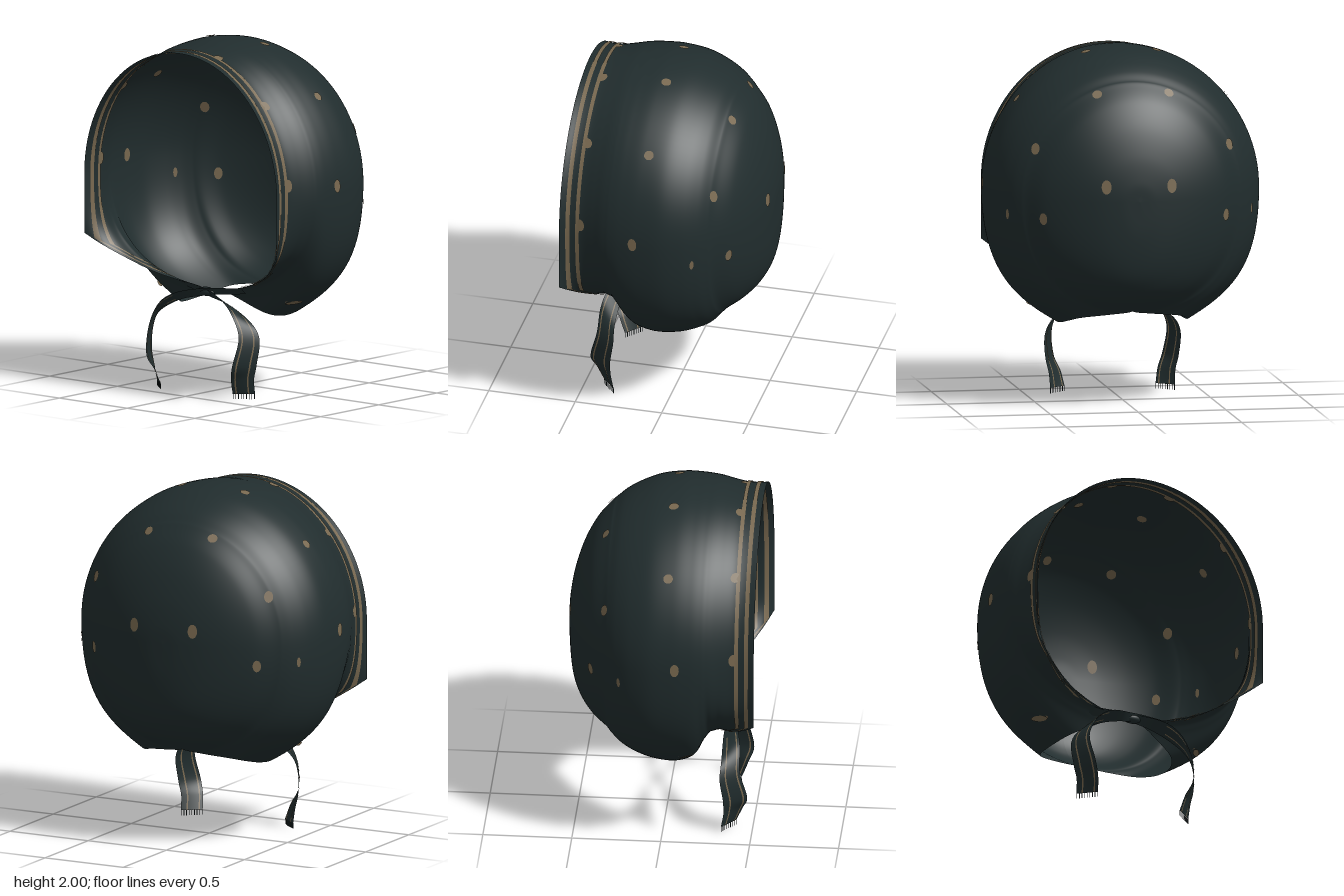
import * as THREE from 'three';

const V = (x, y, z) => new THREE.Vector3(x, y, z);
const mat = (name, color) => {
  const m = new THREE.MeshStandardMaterial({ color, side: THREE.DoubleSide });
  m.name = name;
  return m;
};

// Indexed sheet from f(u, v), u and v in 0..1
function sheet(f, nu, nv) {
  const pos = [], idx = [];
  for (let i = 0; i <= nu; i++)
    for (let j = 0; j <= nv; j++) {
      const p = f(i / nu, j / nv);
      pos.push(p.x, p.y, p.z);
      if (i < nu && j < nv) {
        const a = i * (nv + 1) + j, b = a + nv + 1;
        idx.push(a, b, a + 1, b, b + 1, a + 1);
      }
    }
  const g = new THREE.BufferGeometry();
  g.setAttribute('position', new THREE.Float32BufferAttribute(pos, 3));
  g.setIndex(idx);
  g.computeVertexNormals();
  return g;
}

// Slices front to back: z, top height, half width, hem x, hem y
const SLICES = [
  [0.54, 1.96, 0.71, 0.71, 0.86], [0.49, 1.96, 0.692, 0.63, 0.80], [0.42, 1.963, 0.695, 0.52, 0.73],
  [0.35, 1.975, 0.72, 0.36, 0.655], [0.30, 1.985, 0.742, 0.18, 0.61], [0.27, 1.99, 0.753, 0.08, 0.59],
  [0.24, 1.993, 0.762, 0.16, 0.55], [0.18, 1.998, 0.772, 0.31, 0.475], [0.08, 2.0, 0.777, 0.36, 0.45],
  [-0.05, 1.98, 0.768, 0.36, 0.46], [-0.16, 1.938, 0.73, 0.33, 0.485], [-0.24, 1.895, 0.68, 0.27, 0.51],
  [-0.29, 1.855, 0.635, 0.12, 0.53], [-0.32, 1.83, 0.60, 0, 0.55], [-0.40, 1.74, 0.51, 0, 0.61],
  [-0.47, 1.61, 0.385, 0, 0.69], [-0.52, 1.455, 0.245, 0, 0.80], [-0.545, 1.31, 0.11, 0, 0.98],
  [-0.55, 1.2, 0, 0, 1.2],
];
const crown = new THREE.CatmullRomCurve3(SLICES.map(r => V(r[0], r[1], r[2])), false, 'catmullrom', 0.5);
const hem = new THREE.CatmullRomCurve3(SLICES.map(r => V(r[0], r[3], r[4])), false, 'catmullrom', 0.5);
const MID = 1.2;

// Cloth surface: t runs front to back, s from hem (-1) over the top (0) to hem (1)
function cloth(t, s) {
  t = Math.min(1, Math.max(0, t));
  const c = crown.getPoint(t), e = hem.getPoint(t);
  const w = Math.max(0, c.z), ex = Math.max(0, e.y), ey = e.z;
  const a = Math.min(1, Math.abs(s)), side = s < 0 ? -1 : 1;
  if (a <= 0.5) return V(side * w * Math.sin(a * Math.PI), MID + (c.y - MID) * Math.cos(a * Math.PI), c.x);
  const k = a * 2 - 1, q = 1 - k, h = MID - ey;
  const b = (p0, p1, p2, p3) => q * q * q * p0 + 3 * q * q * k * p1 + 3 * q * k * k * p2 + k * k * k * p3;
  const x = b(w, w, ex + (w - ex) * 0.63, ex);
  const y = b(MID, ey + h * 0.4, ey + h * 0.2 * Math.min(1, ex / 0.3), ey);
  return V(side * x, y, c.x);
}

// Slice parameter at a given depth
function atZ(z) {
  let lo = 0, hi = 1;
  for (let i = 0; i < 30; i++) {
    const m = (lo + hi) / 2;
    if (crown.getPoint(m).x > z) lo = m; else hi = m;
  }
  return (lo + hi) / 2;
}

function clothNormal(t, s) {
  const e = 0.004, s0 = Math.max(-1, s - e), s1 = Math.min(1, s + e);
  const dt = cloth(t + e, s).sub(cloth(t - e, s)), ds = cloth(t, s1).sub(cloth(t, s0));
  return dt.cross(ds).normalize();
}

// Line a distance d in from the face edge; k in -2..2, beyond 1 it runs to the knot
function edgeLine(d, k, lift) {
  const a = Math.abs(k), sEnd = 1 - d * 0.8;
  const z = a <= 1 ? 0.54 - d : THREE.MathUtils.lerp(0.54 - d, 0.3, a - 1);
  const s = Math.sign(k) * Math.min(a, 1) * sEnd, t = atZ(z);
  return cloth(t, s).addScaledVector(clothNormal(t, s), lift);
}

// Tie: centre points and half-width vectors
const TIE = [
  [0.24, 0.60, 0.27, 0, 0.018, 0.02], [0, 0.578, 0.33, 0, 0.022, 0.012], [-0.18, 0.535, 0.36, 0.01, 0.025, 0.04],
  [-0.30, 0.46, 0.37, 0.035, 0.03, 0.05], [-0.355, 0.36, 0.37, 0.03, 0.01, 0.055],
  [-0.345, 0.20, 0.40, 0.035, 0, 0.065], [-0.32, 0.12, 0.385, 0.042, 0, 0.05], [-0.308, 0.035, 0.36, 0.048, 0, 0.04],
];
const tieMid = new THREE.CatmullRomCurve3(TIE.map(r => V(r[0], r[1], r[2])));
const tieWide = new THREE.CatmullRomCurve3(TIE.map(r => V(r[3], r[4], r[5])));

export function createModel() {
  const model = new THREE.Group();
  model.name = 'headscarf';
  const dark = mat('dark teal cloth', 0x212d2e);
  const tan = mat('tan print', 0x78684f);
  const add = (parent, name, geo, m) => {
    const mesh = new THREE.Mesh(geo, m);
    mesh.name = name;
    parent.add(mesh);
    return mesh;
  };

  add(model, 'scarfShell', sheet((u, v) => cloth(u, v * 2 - 1), 144, 120), dark);

  // Border stripes, printed on both faces of the cloth
  for (const [d0, d1] of [[0.032, 0.056], [0.09, 0.112]])
    for (const lift of [-0.005, 0.005])
      add(model, 'borderStripe',
        sheet((u, v) => edgeLine(d0 + (d1 - d0) * v, u * 4 - 2, lift), 160, 2), tan);

  // Dots: depth, position around the slice, half width, half height
  const dots = [
    [-0.33, 0.112, 0.028, 0.027], [0.05, 0.083, 0.028, 0.028], [0.05, 0.275, 0.027, 0.027],
    [-0.31, 0.355, 0.026, 0.033], [0.1, 0.485, 0.025, 0.038], [-0.53, 0.365, 0.028, 0.04],
    [-0.39, 0.55, 0.024, 0.034], [-0.22, 0.54, 0.012, 0.028], [0.14, 0.9, 0.018, 0.05],
    [0.422, 0.083, 0.03, 0.026], [0.422, 0.27, 0.026, 0.03], [0.422, 0.47, 0.026, 0.036],
  ];
  for (const [z, s, rx, ry] of dots)
    for (const side of [-1, 1]) {
      const t = atZ(z), n = clothNormal(t, s * side);
      const p = cloth(t, s * side);
      for (const lift of [-0.005, 0.005]) {
        const dot = add(model, 'dot', new THREE.CircleGeometry(1, 20), tan);
        dot.scale.set(rx, ry, 1);
        dot.quaternion.setFromUnitVectors(V(0, 0, 1), n);
        dot.position.copy(p).addScaledVector(n, lift);
      }
    }

  // Knot under the chin
  const knot = add(model, 'knot', new THREE.SphereGeometry(1, 20, 14), dark);
  knot.scale.set(0.06, 0.026, 0.03);
  knot.position.set(0, 0.578, 0.315);

  // Two crossing ties with stripes and fringe
  for (const side of [1, -1]) {
    const tie = new THREE.Group();
    tie.name = side > 0 ? 'rightTie' : 'leftTie';
    const at = (u, w, lift = 0) => {
      const wide = tieWide.getPoint(u);
      const n = wide.clone().cross(tieMid.getTangent(u)).normalize();
      const p = tieMid.getPoint(u).addScaledVector(wide, w).addScaledVector(n, lift);
      p.z += side > 0 ? 0.006 : -0.006;
      p.x *= side;
      return p;
    };
    add(tie, 'ribbon', sheet((u, v) => at(u, v * 2 - 1), 60, 4), dark);
    for (const w of [-0.5, 0.6])
      for (const lift of [-0.003, 0.003])
        add(tie, 'ribbonStripe', sheet((u, v) => at(0.3 + u * 0.7, w + v * 0.13, lift), 50, 1), tan);
    for (let i = 0; i < 9; i++) {
      const strand = add(tie, 'fringe', new THREE.BoxGeometry(0.003, 0.03, 0.003), dark);
      strand.position.copy(at(1, -0.96 + i * 0.24));
      strand.position.y -= 0.015;
    }
    model.add(tie);
  }
  return model;
}
